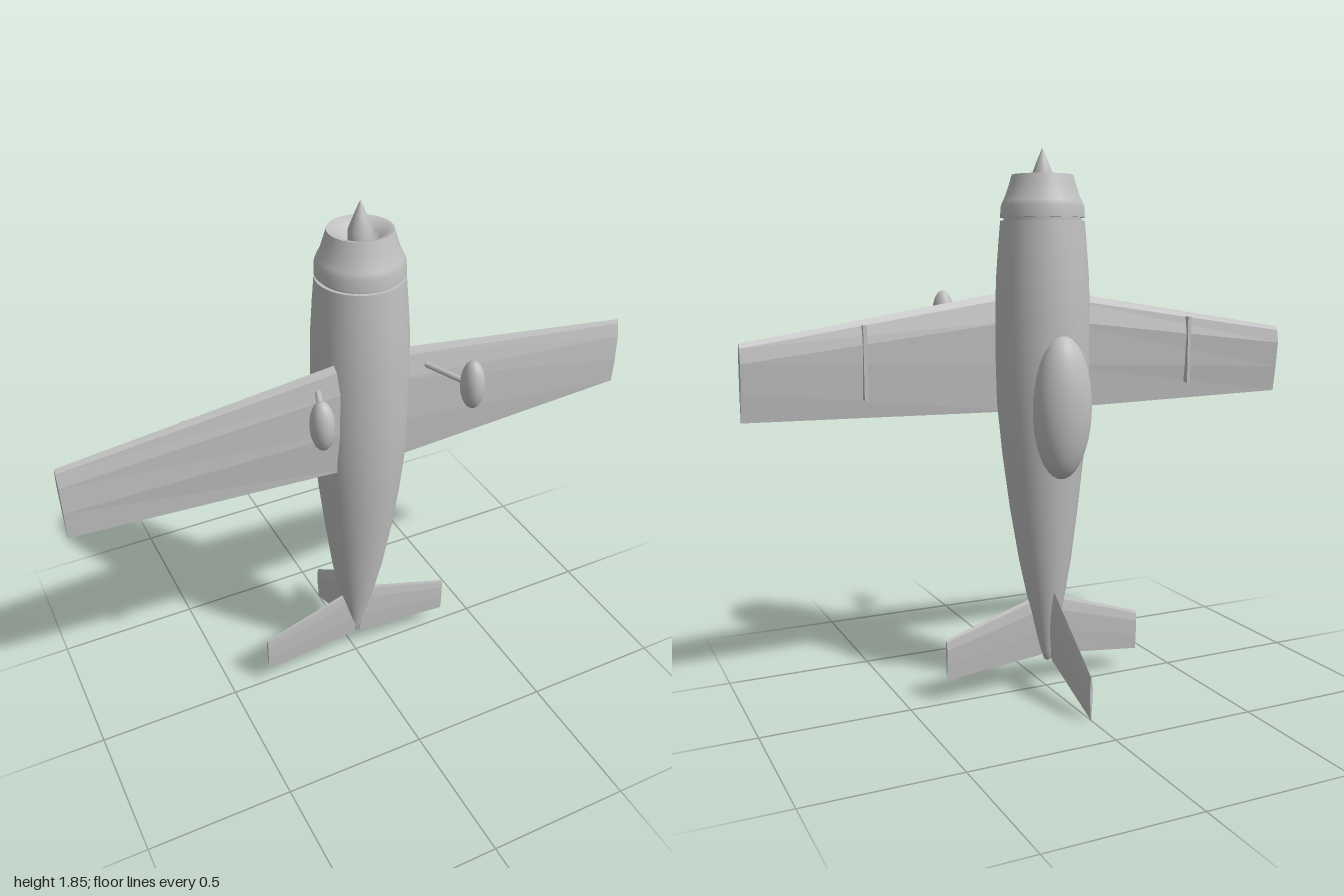
import * as THREE from 'three';

const grey = new THREE.MeshStandardMaterial({ color: 0xc0c0c0 });
grey.name = 'plain grey';

// Height of the fuselage centre line: [y, z]
const axis = [[0.1, -0.01], [0.3, 0.002], [0.65, 0.02], [1.0, 0.029], [1.9, 0.029]];
function axisZ(y) {
  for (let i = 1; i < axis.length; i++) {
    const [y0, z0] = axis[i - 1], [y1, z1] = axis[i];
    if (y <= y1) return z0 + (z1 - z0) * Math.max(0, (y - y0) / (y1 - y0));
  }
  return axis[axis.length - 1][1];
}

function add(group, name, geometry) {
  const mesh = new THREE.Mesh(geometry, grey);
  mesh.name = name;
  group.add(mesh);
  return mesh;
}

// Round body following the centre line; profile is [radius, y]
function body(profile) {
  const g = new THREE.LatheGeometry(profile.map(([r, y]) => new THREE.Vector2(r, y)), 40);
  const p = g.attributes.position;
  for (let i = 0; i < p.count; i++) p.setZ(i, p.getZ(i) + axisZ(p.getY(i)));
  return g;
}

// Faceted aerofoil section: [position along chord, offset in thicknesses]
const foil = [[0, 0], [0.06, 0.2], [0.25, 0.4], [0.62, 0.35], [1, 0.06],
  [1, -0.06], [0.62, -0.4], [0.25, -0.6], [0.06, -0.3]];

// Panel lofted from root to tip; each end has le, te and thickness t along n
function panel(root, tip, n, side = 1) {
  const ring = ({ le, te, t }) => {
    const a = new THREE.Vector3(...le), b = new THREE.Vector3(...te);
    const pts = foil.map(([c, h]) => {
      const v = a.clone().lerp(b, c).addScaledVector(n, h * t);
      v.x *= side;
      return v;
    });
    return side < 0 ? pts.reverse() : pts;
  };
  const r = ring(root), e = ring(tip), tris = [];
  r.forEach((p, i) => {
    const j = (i + 1) % r.length;
    tris.push(p, r[j], e[j], p, e[j], e[i]);
  });
  for (let i = 1; i < r.length - 1; i++) {
    tris.push(e[0], e[i], e[i + 1], r[0], r[i + 1], r[i]);
  }
  const g = new THREE.BufferGeometry().setFromPoints(tris);
  g.computeVertexNormals();
  return g;
}

function rod(from, to, radius) {
  const a = new THREE.Vector3(...from), b = new THREE.Vector3(...to);
  const d = b.clone().sub(a);
  const g = new THREE.CylinderGeometry(radius, radius, d.length(), 12);
  g.applyQuaternion(new THREE.Quaternion().setFromUnitVectors(
    new THREE.Vector3(0, 1, 0), d.clone().normalize()));
  const m = a.add(b).multiplyScalar(0.5);
  return g.translate(m.x, m.y, m.z);
}

export function createModel() {
  const plane = new THREE.Group();
  plane.name = 'aeroplane';
  const X = new THREE.Vector3(1, 0, 0), Z = new THREE.Vector3(0, 0, 1);

  // Fuselage, with a narrow groove behind the cowling
  add(plane, 'fuselage', body([[0, 0.1], [0.012, 0.108], [0.022, 0.14], [0.038, 0.21],
    [0.063, 0.32], [0.09, 0.46], [0.118, 0.65], [0.14, 0.83], [0.155, 1.0], [0.159, 1.15],
    [0.159, 1.3], [0.156, 1.42], [0.148, 1.53], [0.141, 1.612]]));
  add(plane, 'fuselageFrontRim', body([[0.141, 1.612], [0.13, 1.612]]));
  add(plane, 'cowlGroove', body([[0.13, 1.605], [0.13, 1.63]]));
  add(plane, 'cowlRearRim', body([[0.13, 1.623], [0.141, 1.623]]));

  // Engine cowling and its hollow intake
  add(plane, 'cowling', body([[0.141, 1.623], [0.139, 1.66], [0.132, 1.677], [0.123, 1.695],
    [0.112, 1.728], [0.102, 1.762]]));
  add(plane, 'cowlIntake', body([[0.102, 1.762], [0.085, 1.758], [0.06, 1.74], [0.045, 1.72],
    [0, 1.715]]));
  add(plane, 'spinner', body([[0.037, 1.715], [0.037, 1.76], [0.018, 1.808], [0, 1.85]]));

  // Canopy bubble
  const canopy = add(plane, 'canopy', new THREE.SphereGeometry(1, 32, 20));
  canopy.scale.set(0.1, 0.238, 0.086);
  canopy.position.set(0, 1.002, -0.122);
  canopy.rotation.x = -0.025;

  for (const side of [1, -1]) {
    const s = side > 0 ? 'left' : 'right';
    // Wing with dihedral, and a fence on its upper face
    add(plane, s + 'Wing', panel(
      { le: [0.05, 1.386, 0.118], te: [0.05, 0.967, 0.116], t: 0.05 },
      { le: [1, 1.235, 0.065], te: [1, 0.99, 0.077], t: 0.028 }, Z, side));
    add(plane, s + 'WingFence', new THREE.BoxGeometry(0.013, 0.24, 0.025))
      .position.set(side * 0.607, 1.16, 0.071);

    // Tailplane
    add(plane, s + 'Tailplane', panel(
      { le: [0.01, 0.338, 0.014], te: [0.01, 0.115, 0.014], t: 0.018 },
      { le: [0.366, 0.222, 0.012], te: [0.366, 0.08, 0.012], t: 0.012 }, Z, side));

    // Landing gear
    add(plane, s + 'GearStrut', rod([side * 0.18, 1.297, 0.095], [side * 0.25, 1.297, 0.28], 0.01));
    const wheel = add(plane, s + 'Wheel', new THREE.SphereGeometry(1, 20, 14));
    wheel.scale.set(0.037, 0.083, 0.044);
    wheel.position.set(side * 0.257, 1.297, 0.293);
  }

  // Swept fin
  add(plane, 'fin', panel(
    { le: [0, 0.375, -0.043], te: [0, 0.115, -0.043], t: 0.018 },
    { le: [0, 0.15, -0.335], te: [0, 0.005, -0.335], t: 0.01 }, X));

  return plane;
}
